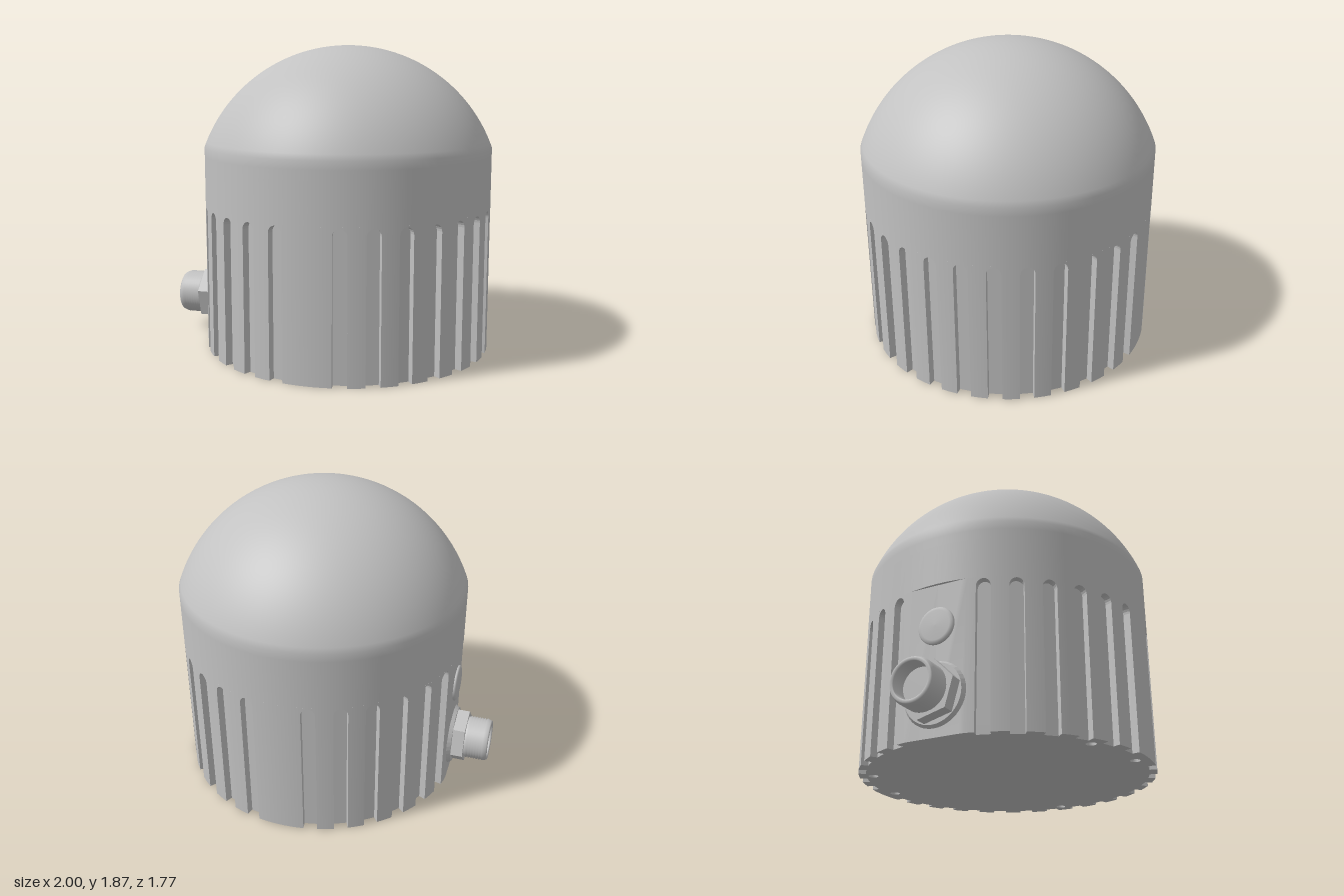
import * as THREE from 'three';

const R = 0.885, CORE = 0.84, INNER = 0.835, WALL_TOP = 0.895, FLAT = 0.868;
const STEP = Math.PI / 15; // 30 cells around the wall
const v2 = (x, y) => new THREE.Vector2(x, y);

// One 12-degree piece of the outer wall, with or without an arched slot, bent round the axis
function wallCell(angle, slotted, flat) {
  const half = STEP / 2, w = 0.042 / R, archY = 0.842, archH = 0.045, n = 6;
  const pts = [];
  const add = (a, y) => pts.push(v2(a, y));
  if (slotted) {
    add(-half, 0);
    add(-w, 0);
    for (let i = 0; i <= 10; i++) {
      const t = Math.PI * (1 - i / 10);
      add(w * Math.cos(t), archY + archH * Math.sin(t));
    }
    add(w, 0);
    add(half, 0);
  } else {
    for (let i = 0; i <= n; i++) add(-half + STEP * i / n, 0);
  }
  for (let i = n; i >= 0; i--) add(-half + STEP * i / n, WALL_TOP);
  pts.forEach(p => { p.x *= R; });

  const g = new THREE.ExtrudeGeometry(new THREE.Shape(pts), { depth: R - INNER, bevelEnabled: false });
  const P = g.attributes.position, N = g.attributes.normal;
  for (let i = 0; i < P.count; i++) {
    const a = angle + P.getX(i) / R, r = INNER + P.getZ(i);
    const s = Math.sin(a), c = Math.cos(a);
    const nx = N.getX(i), nz = N.getZ(i);
    N.setXYZ(i, nx * c + nz * s, N.getY(i), -nx * s + nz * c);
    let x = r * s;
    if (flat && x < -FLAT) {
      x = -FLAT;
      if (nz > 0.5) N.setXYZ(i, -1, 0, 0);
    }
    P.setXYZ(i, x, P.getY(i), r * c);
  }
  return g;
}

export function createModel() {
  const grey = new THREE.MeshStandardMaterial({ color: 0xc2c2c2 });
  grey.name = 'light grey';
  const model = new THREE.Group();
  model.name = 'domedHousing';
  const mesh = (parent, name, geo) => {
    const m = new THREE.Mesh(geo, grey);
    m.name = name;
    parent.add(m);
    return m;
  };
  const flatShade = g => {
    const f = g.toNonIndexed();
    f.computeVertexNormals();
    return f;
  };

  const body = new THREE.Group();
  body.name = 'body';
  body.position.x = 0.113;
  model.add(body);

  // Slotted wall: plain at front and back and at the connector panel
  const wall = new THREE.Group();
  wall.name = 'slottedWall';
  body.add(wall);
  for (let i = 0; i < 30; i++) {
    const panel = i === 22 || i === 23;
    const plain = panel || i === 0 || i === 15;
    mesh(wall, panel ? 'connectorPanel' : plain ? 'plainWall' : 'slotWall',
      wallCell(i * STEP, !plain, panel));
  }

  // Faceted core forms the slot floors
  const coreR = CORE / Math.cos(STEP / 2), plateH = 0.05;
  const core = new THREE.CylinderGeometry(coreR, coreR, WALL_TOP - plateH, 30, 1, false, STEP / 2);
  core.translate(0, (WALL_TOP + plateH) / 2, 0);
  mesh(body, 'core', flatShade(core));

  // Base plate with screw holes
  const outline = [];
  for (let i = 0; i < 30; i++) {
    const a = (i + 0.5) * STEP;
    outline.push(v2(coreR * Math.cos(a + Math.PI / 2), coreR * Math.sin(a + Math.PI / 2)));
  }
  const plate = new THREE.Shape(outline);
  for (const deg of [0, 120, 240, 90, 270]) {
    const a = THREE.MathUtils.degToRad(deg);
    const hole = new THREE.Path();
    hole.absarc(0.8 * Math.cos(a), 0.8 * Math.sin(a), 0.03, 0, Math.PI * 2, true);
    plate.holes.push(hole);
  }
  const plateGeo = new THREE.ExtrudeGeometry(plate, { depth: plateH, bevelEnabled: false, curveSegments: 16 });
  plateGeo.rotateX(Math.PI / 2).translate(0, plateH, 0);
  mesh(body, 'basePlate', plateGeo);

  // Smooth band above the slots, with its underside lip
  mesh(body, 'upperBand', new THREE.CylinderGeometry(R, R, 1.14 - WALL_TOP, 120)
    .translate(0, (1.14 + WALL_TOP) / 2, 0));

  // Dome: short skirt and spherical cap
  const edgeY = 1.25, topY = 1.865, h = topY - edgeY;
  const sphereR = (R * R + h * h) / (2 * h);
  const edge = Math.asin(R / sphereR);
  const dome = [v2(R, 1.14), v2(R, 1.2)];
  for (let i = 0; i <= 32; i++) {
    const t = edge * (1 - i / 32);
    dome.push(v2(sphereR * Math.sin(t), topY - sphereR + sphereR * Math.cos(t)));
  }
  mesh(body, 'dome', new THREE.LatheGeometry(dome, 120));

  // Parts on the side panel, built along y and turned to point to -x
  const sideMount = (name, y) => {
    const g = new THREE.Group();
    g.name = name;
    g.position.set(-0.753, y, 0);
    g.rotation.z = Math.PI / 2;
    model.add(g);
    return g;
  };

  // Vent button with rounded rim
  const vent = sideMount('vent', 0.64);
  mesh(vent, 'ventButton', new THREE.LatheGeometry(
    [v2(0.112, 0), v2(0.112, 0.01), v2(0.106, 0.017), v2(0.09, 0.021), v2(0, 0.023)], 40));

  // Connector: flange, hex nut, threaded sleeve and socket
  const connector = sideMount('connector', 0.24);
  mesh(connector, 'flange', flatShade(new THREE.CylinderGeometry(0.175, 0.19, 0.024, 40).translate(0, 0.012, 0)));
  const nut = new THREE.CylinderGeometry(0.171, 0.171, 0.078, 6, 1, false, Math.PI / 12);
  mesh(connector, 'hexNut', flatShade(nut.translate(0, 0.06, 0)));

  const sleeve = [v2(0.128, 0.09)];
  for (let i = 0; i < 7; i++) {
    const y = 0.105 + i * 0.017;
    sleeve.push(v2(0.128, y), v2(0.136, y + 0.0085));
  }
  sleeve.push(v2(0.128, 0.24), v2(0.124, 0.247), v2(0.108, 0.247), v2(0.106, 0.24), v2(0.106, 0.13));
  mesh(connector, 'threadedSleeve', new THREE.LatheGeometry(sleeve, 40));
  mesh(connector, 'socketFloor', new THREE.CylinderGeometry(0.107, 0.107, 0.05, 32).translate(0, 0.12, 0));

  return model;
}
